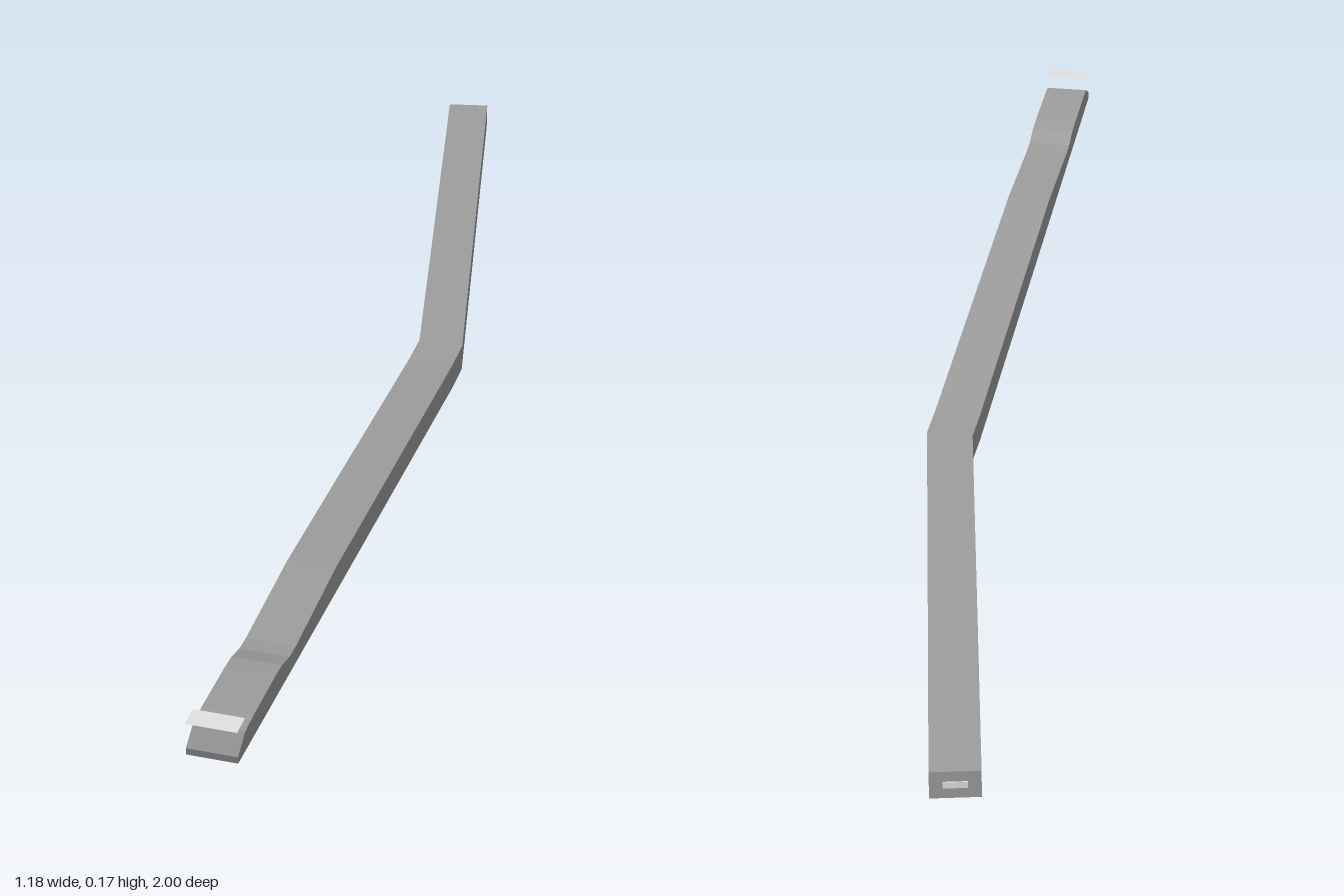
import * as THREE from 'three';

function flat(name, color, side = THREE.FrontSide) {
  const m = new THREE.MeshStandardMaterial({ color, side, flatShading: true });
  m.name = name;
  return m;
}
const grey = flat('mid grey', 0x9e9e9e);
const dark = flat('dark grey', 0x525252);
const tipGrey = flat('tip grey', 0x767676);
const pale = flat('pale grey', 0xe2e2e2, THREE.DoubleSide);

// Plan edges of the sloping arm, t = 0 at the bend, t = 1 at the tip
const leftAt = t => [0.15 - 0.74 * t, -0.125 + 1.075 * t];
const rightAt = t => [0.222 - 0.74 * t, -0.08 + 1.075 * t];
const backLeft = [0.51, -1], backRight = [0.587, -0.97];

// Flat geometry from quads given counter-clockwise as seen from outside
function quads(list) {
  const pos = [];
  for (const [a, b, c, d] of list) pos.push(...a, ...b, ...c, ...a, ...c, ...d);
  const g = new THREE.BufferGeometry();
  g.setAttribute('position', new THREE.Float32BufferAttribute(pos, 3));
  g.computeVertexNormals();
  return g;
}

// Loft four-cornered cross-sections from the back end to the tip
function barFaces() {
  const ring = (l, r, low, high) => [
    [l[0], low, l[1]], [r[0], low, r[1]], [r[0], high, r[1]], [l[0], high, l[1]],
  ];
  const kink = 0.054;
  const tops = [
    [0, 0.053], [kink, 0.054], [0.615, 0.113], [0.78, 0.112], [0.805, 0.115],
    [0.835, 0.128], [0.86, 0.132], [0.94, 0.138], [0.972, 0.138], [1, 0.115],
  ];
  const rings = [ring(backLeft, backRight, 0, 0.053)];
  for (const [t, high] of tops) {
    const low = 0.102 * Math.max(0, (t - kink) / (1 - kink));
    rings.push(ring(leftAt(t), rightAt(t), low, high));
  }
  const last = rings.length - 1;
  const body = [[...rings[0]].reverse()], underside = [], tip = [rings[last]];
  for (let i = 0; i < last; i++) {
    for (let k = 0; k < 4; k++) {
      const n = (k + 1) % 4;
      const face = [rings[i][k], rings[i][n], rings[i + 1][n], rings[i + 1][k]];
      if (k === 0) underside.push(face);
      else if (k === 2 && i === last - 1) tip.push(face);
      else body.push(face);
    }
  }
  return { body, underside, tip };
}

// Thin sheet hovering over the bevelled tip
function tipSheet() {
  const at = ([x, z]) => [x, 0.165, z];
  return quads([[at(leftAt(0.972)), at(leftAt(1)), at(rightAt(1)), at(rightAt(0.972))]]);
}

export function createModel() {
  const group = new THREE.Group();
  const add = (name, geometry, material) => {
    const mesh = new THREE.Mesh(geometry, material);
    mesh.name = name;
    group.add(mesh);
    return mesh;
  };
  const { body, underside, tip } = barFaces();
  add('barBody', quads(body), grey);
  add('barUnderside', quads(underside), dark);
  add('bevelledTip', quads(tip), tipGrey);
  add('tipSheet', tipSheet(), pale);

  // Small pale plate on the back end face
  const plate = add('endPlate', new THREE.BoxGeometry(0.04, 0.012, 0.004), pale);
  plate.position.set(0.5485, 0.027, -0.985);
  plate.rotation.y = -Math.atan2(0.03, 0.077);
  return group;
}
